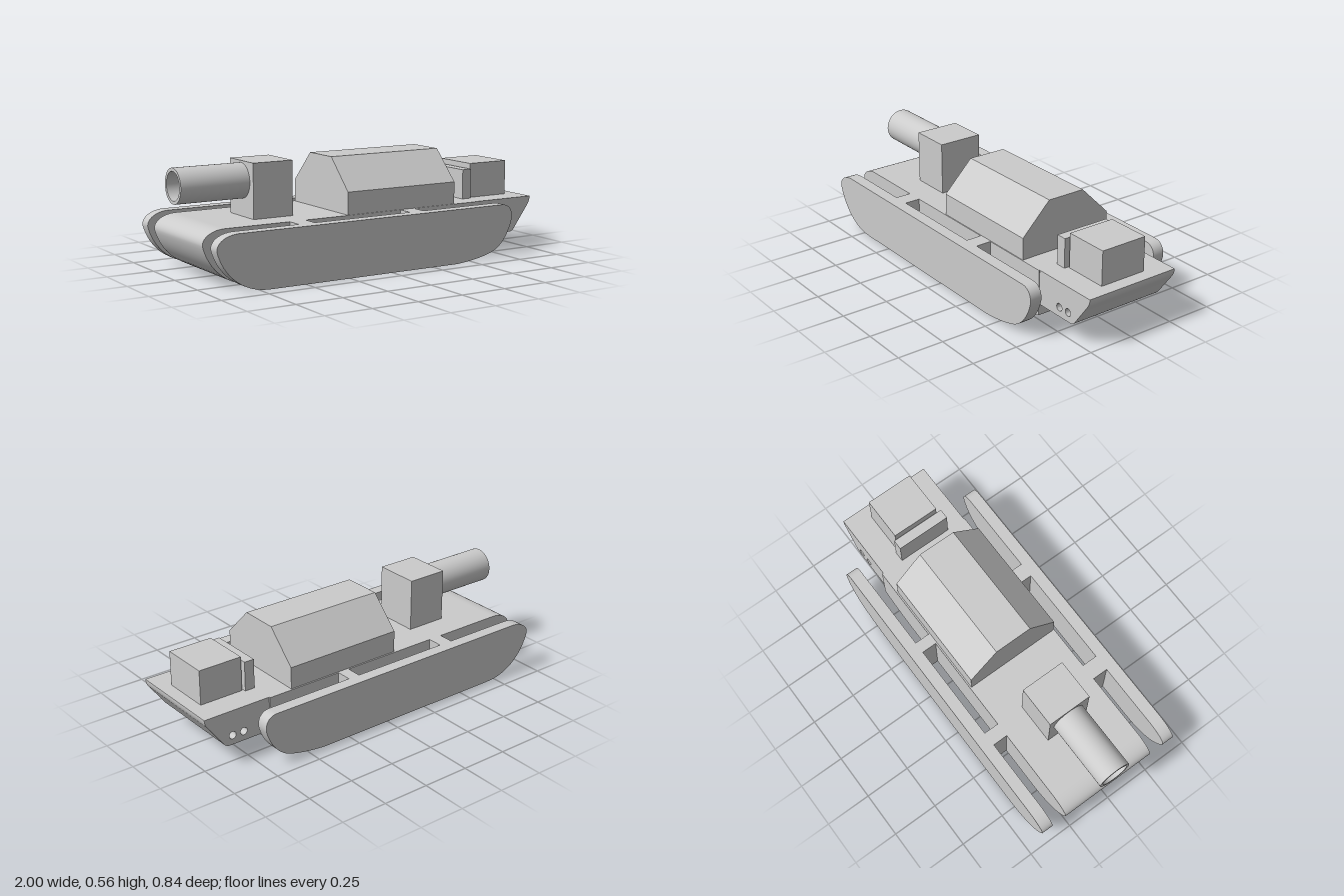
import * as THREE from 'three';
import { toCreasedNormals } from 'three/addons/utils/BufferGeometryUtils.js';

const material = new THREE.MeshStandardMaterial({ color: 0xcccccc });
const DECK = 0.285;

// Side outline shared by hull and track pods; the hull is cut square at the bow
function trackOutline(cut) {
  const s = new THREE.Shape();
  s.moveTo(-0.7, 0);
  s.lineTo(0.4, 0);
  if (cut) {
    s.quadraticCurveTo(0.54, 0.01, 0.625, 0.04);
    s.lineTo(0.625, DECK);
  } else {
    s.quadraticCurveTo(0.54, 0.01, 0.625, 0.04);
    s.bezierCurveTo(0.7, 0.07, 0.74, 0.15, 0.753, 0.205);
    s.bezierCurveTo(0.76, 0.25, 0.735, DECK, 0.69, DECK);
  }
  s.lineTo(-0.86, DECK);
  s.bezierCurveTo(-0.93, DECK, -0.985, 0.25, -0.979, 0.208);
  s.bezierCurveTo(-0.96, 0.13, -0.88, 0, -0.7, 0);
  return s;
}

// Lower nose with two round through-holes
function bowOutline() {
  const s = new THREE.Shape();
  s.moveTo(0.625, 0.1);
  s.lineTo(0.86, 0.1);
  s.quadraticCurveTo(0.885, 0.1, 0.9, 0.125);
  s.lineTo(0.985, 0.24);
  s.quadraticCurveTo(1, 0.26, 1, DECK);
  s.lineTo(0.625, DECK);
  s.closePath();
  for (const x of [0.778, 0.843]) {
    s.holes.push(new THREE.Path().absarc(x, 0.15, 0.02, 0, Math.PI * 2, true));
  }
  return s;
}

function extrude(shape, depth) {
  const g = new THREE.ExtrudeGeometry(shape, { depth, bevelEnabled: false, curveSegments: 14 });
  return toCreasedNormals(g, 0.5);
}

export function createModel() {
  const model = new THREE.Group();
  model.name = 'trackedVehicle';

  const add = (name, geometry, x = 0, y = 0, z = 0) => {
    const mesh = new THREE.Mesh(geometry, material);
    mesh.name = name;
    mesh.position.set(x, y, z);
    model.add(mesh);
    return mesh;
  };
  // Box given by its limits along each axis
  const box = (name, x0, x1, y0, y1, z0, z1) =>
    add(name, new THREE.BoxGeometry(x1 - x0, y1 - y0, z1 - z0),
      (x0 + x1) / 2, (y0 + y1) / 2, (z0 + z1) / 2);

  // Hull and bow
  add('hull', extrude(trackOutline(true), 0.543), 0, 0, -0.273);
  add('bow', extrude(bowOutline(), 0.53), 0, 0, -0.265);

  // Track pods
  const pod = extrude(trackOutline(false), 0.065);
  add('frontTrack', pod, 0, 0, 0.355);
  add('backTrack', pod, 0, 0, -0.42);

  // Struts between hull and tracks
  for (const [x0, x1] of [[-0.505, -0.415], [0.147, 0.23]]) box('frontStrut', x0, x1, 0, DECK, 0.26, 0.36);
  for (const [x0, x1] of [[-0.482, -0.405], [0.138, 0.202]]) box('backStrut', x0, x1, 0, DECK, -0.36, -0.265);

  // Cabin with sloping sides, extruded along x
  const section = new THREE.Shape([
    [-0.265, DECK], [0.265, DECK], [0.265, 0.402], [0.105, 0.563], [-0.105, 0.563], [-0.265, 0.402],
  ].map(([z, y]) => new THREE.Vector2(z, y)));
  add('cabin', extrude(section, 0.658), -0.167, 0, 0).rotation.y = Math.PI / 2;

  // Rear tower and bored barrel
  box('tower', -0.627, -0.405, DECK, 0.565, -0.119, 0.125);
  const barrelProfile = [[0, 0], [0.09, 0], [0.09, 0.375], [0.073, 0.375], [0.073, 0.02], [0, 0.02]]
    .map(([r, h]) => new THREE.Vector2(r, h));
  const barrel = toCreasedNormals(new THREE.LatheGeometry(barrelProfile, 40), 0.5);
  add('barrel', barrel, -0.625, 0.465, 0).rotation.z = Math.PI / 2;

  // Bow deck box and the plate behind it
  box('deckBox', 0.69, 0.93, DECK, 0.47, -0.128, 0.135);
  box('deckPlate', 0.625, 0.68, DECK, 0.443, -0.143, 0.158);

  return model;
}
